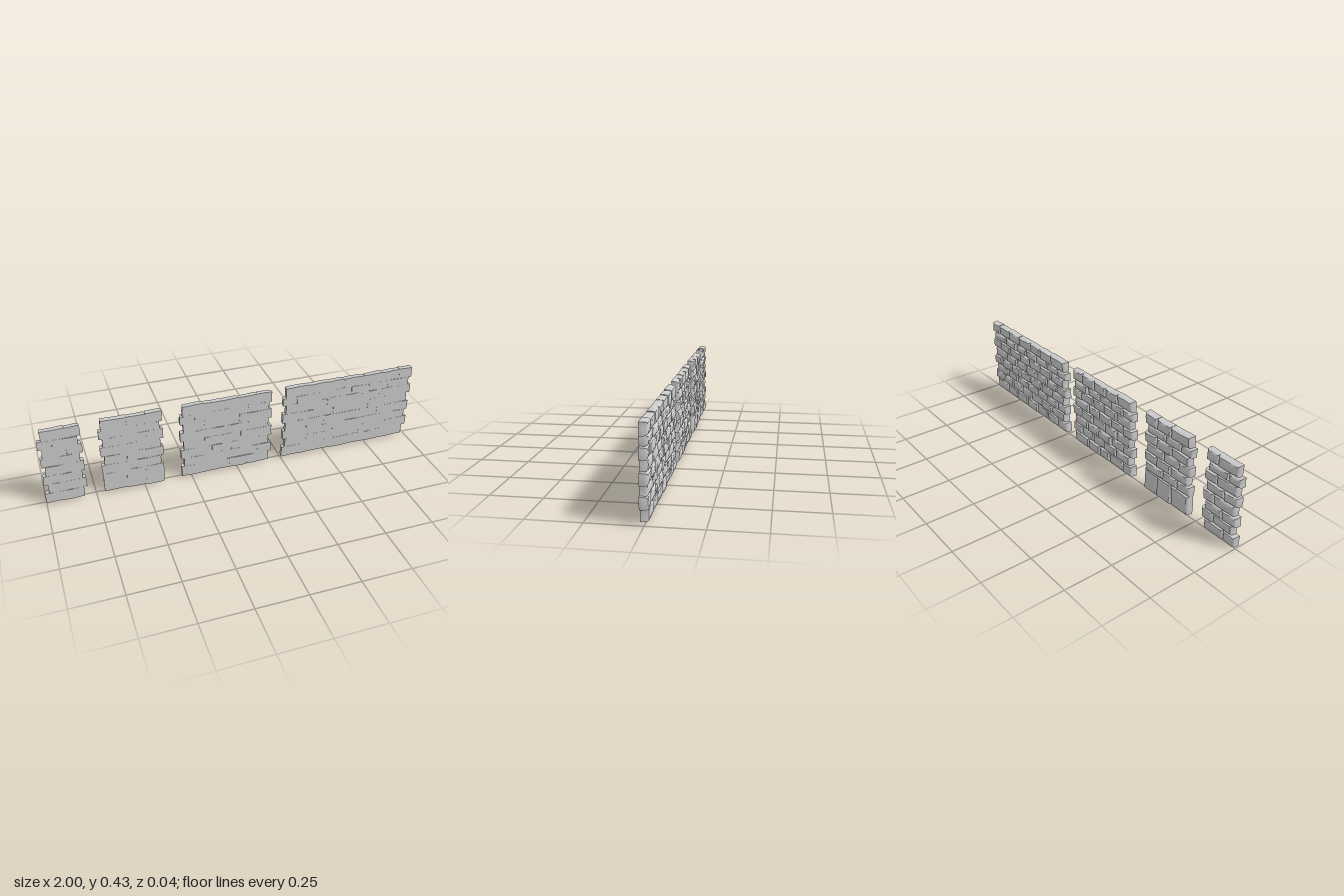
import * as THREE from 'three';
import { toCreasedNormals } from 'three/addons/utils/BufferGeometryUtils.js';

const FRONT = 0.021, BACK = -0.019;
const ROWS = [0.008, 0.065, 0.117, 0.167, 0.221, 0.272, 0.326, 0.371, 0.427];

// Small seeded generator, returns -1..1
function seeded(seed) {
  return () => {
    seed = (seed * 16807) % 2147483647;
    return (seed / 2147483647) * 2 - 1;
  };
}

// Worn stone: flat on the front, pillowed and slightly tilted on the back
function stone(x0, x1, y0, y1, rnd) {
  const w = x1 - x0 + 0.001, h = y1 - y0 + 0.001;
  const front = FRONT - 0.0008 + rnd() * 0.0007;
  const back = BACK + 0.001 + rnd() * 0.0025;
  const tiltX = rnd() * 0.0015, tiltY = rnd() * 0.0012;
  const px = rnd() * 3, py = rnd() * 3;
  const geo = new THREE.BoxGeometry(2, 2, 1, 6, 5, 5);
  const p = geo.attributes.position;
  for (let i = 0; i < p.count; i++) {
    const u = p.getX(i), v = p.getY(i), t = 0.5 - p.getZ(i);
    const s = Math.max(0, (t - 0.4) / 0.6);
    const round = 1 - Math.sqrt(1 - s * s);
    const edge = Math.max(Math.abs(u), Math.abs(v)) ** 6;
    const x = u * (w / 2 - 0.002 * t - 0.007 * round) + 0.0012 * Math.sin(v * 2 + px + t);
    const y = v * (h / 2 - 0.001 * t - 0.005 * round) + 0.0014 * Math.sin(u * 2 + py + t);
    const z = front + (back - front) * t
      + t * (tiltX * u + tiltY * v + 0.003 * edge * s + 0.0008 * Math.sin(u * 3 + py + v * 2));
    p.setXYZ(i, (x0 + x1) / 2 + x, (y0 + y1) / 2 + y, z);
  }
  const mesh = new THREE.Mesh(
    toCreasedNormals(geo, 0.65),
    new THREE.MeshStandardMaterial({ color: 0xcccccc })
  );
  mesh.name = 'stone';
  return mesh;
}

// Wall section in running bond; alternate courses are shifted sideways
function wall(name, left, right, count, seed, largeBase) {
  const group = new THREE.Group();
  group.name = name;
  const rnd = seeded(seed);
  for (let r = largeBase ? 2 : 0; r < 8; r++) {
    const dir = r % 2 ? 1 : -1;
    const a = left + dir * 0.008 + rnd() * 0.002;
    const b = right + dir * 0.008 + rnd() * 0.002;
    const joints = [a];
    for (let i = 1; i < count; i++) {
      joints.push(a + ((b - a) * (i + dir * 0.2 + rnd() * 0.09)) / count);
    }
    joints.push(b);
    for (let i = 0; i < count; i++) {
      group.add(stone(joints[i], joints[i + 1], ROWS[r] + rnd() * 0.001, ROWS[r + 1] + rnd() * 0.002, rnd));
    }
  }
  // Tall foundation blocks replacing the two lowest courses
  if (largeBase) {
    const cuts = [0, 0.38, 0.7, 1].map(f => left - 0.006 + f * (right - left + 0.008));
    for (let i = 0; i < 3; i++) {
      const block = stone(cuts[i], cuts[i + 1], [0.01, 0.006, 0.002][i], 0.116, rnd);
      block.name = 'foundationBlock';
      group.add(block);
    }
  }
  return group;
}

export function createModel() {
  const model = new THREE.Group();
  model.name = 'stoneWallSet';
  model.add(
    wall('narrowWall', -0.99, -0.80, 2, 1271, false),
    wall('shortWall', -0.70, -0.398, 3, 48271, true),
    wall('mediumWall', -0.294, 0.183, 5, 90533, false),
    wall('longWall', 0.264, 0.989, 7, 270911, false)
  );
  return model;
}
